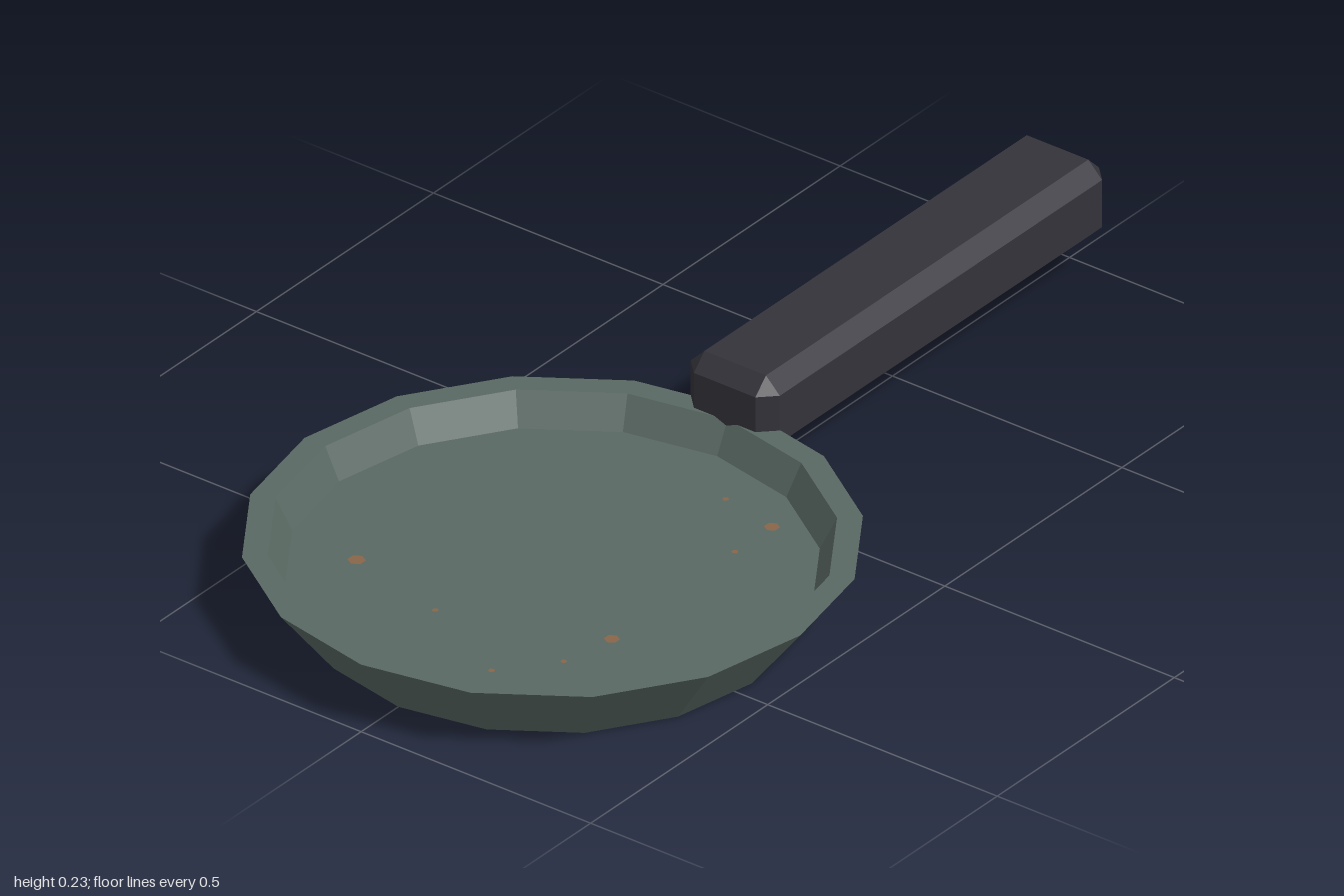
import * as THREE from 'three';
import { ConvexGeometry } from 'three/addons/geometries/ConvexGeometry.js';

const PAN_X = -0.46;
const FLOOR_Y = 0.075;

const material = (name, color) => {
  const m = new THREE.MeshStandardMaterial({ color });
  m.name = name;
  return m;
};

// Separate the faces so each gets its own flat normal
function faceted(geometry) {
  const g = geometry.toNonIndexed();
  g.computeVertexNormals();
  return g;
}

// Box with every edge and corner cut by c
function chamferedBox(w, h, d, c) {
  const half = [w / 2, h / 2, d / 2];
  const points = [];
  for (const sx of [-1, 1]) for (const sy of [-1, 1]) for (const sz of [-1, 1]) {
    for (let face = 0; face < 3; face++) {
      const p = half.map((s, i) => (i === face ? s : s - c));
      points.push(new THREE.Vector3(p[0] * sx, p[1] * sy, p[2] * sz));
    }
  }
  return new ConvexGeometry(points);
}

export function createModel() {
  const model = new THREE.Group();
  model.name = 'fryingPan';

  const iron = material('greyGreenIron', 0x5a6963);
  const grip = material('darkGrip', 0x35333b);
  const rust = material('rustBrown', 0x8a6548);

  function add(name, geometry, mat, x, y, z) {
    const mesh = new THREE.Mesh(geometry, mat);
    mesh.name = name;
    mesh.position.set(x, y, z);
    model.add(mesh);
  }

  // Sixteen-sided pan: underside, flared wall, flat rim, inner wall, floor
  const profile = [
    [0, 0], [0.435, 0], [0.54, 0.135], [0.495, 0.135], [0.465, FLOOR_Y], [0, FLOOR_Y],
  ].map(([r, y]) => new THREE.Vector2(r, y));
  add('panBody', faceted(new THREE.LatheGeometry(profile, 16)), iron, PAN_X, 0, 0);

  // Chunky chamfered handle
  add('handle', chamferedBox(0.97, 0.155, 0.194, 0.03), grip, 0.515, 0.1575, -0.003);

  // Tiny specks on the cooking floor: x, z, radius
  const specks = [
    [-0.65, -0.28, 0.016], [-0.59, 0.23, 0.014], [-0.125, 0.22, 0.014],
    [-0.7, -0.07, 0.006], [-0.8, 0.13, 0.006], [-0.7, 0.21, 0.006],
    [-0.23, 0.22, 0.006], [-0.1, 0.1, 0.006],
  ];
  for (const [x, z, r] of specks) {
    add('floorSpeck', new THREE.CircleGeometry(r, 6).rotateX(-Math.PI / 2), rust, x, FLOOR_Y + 0.001, z);
  }

  return model;
}
